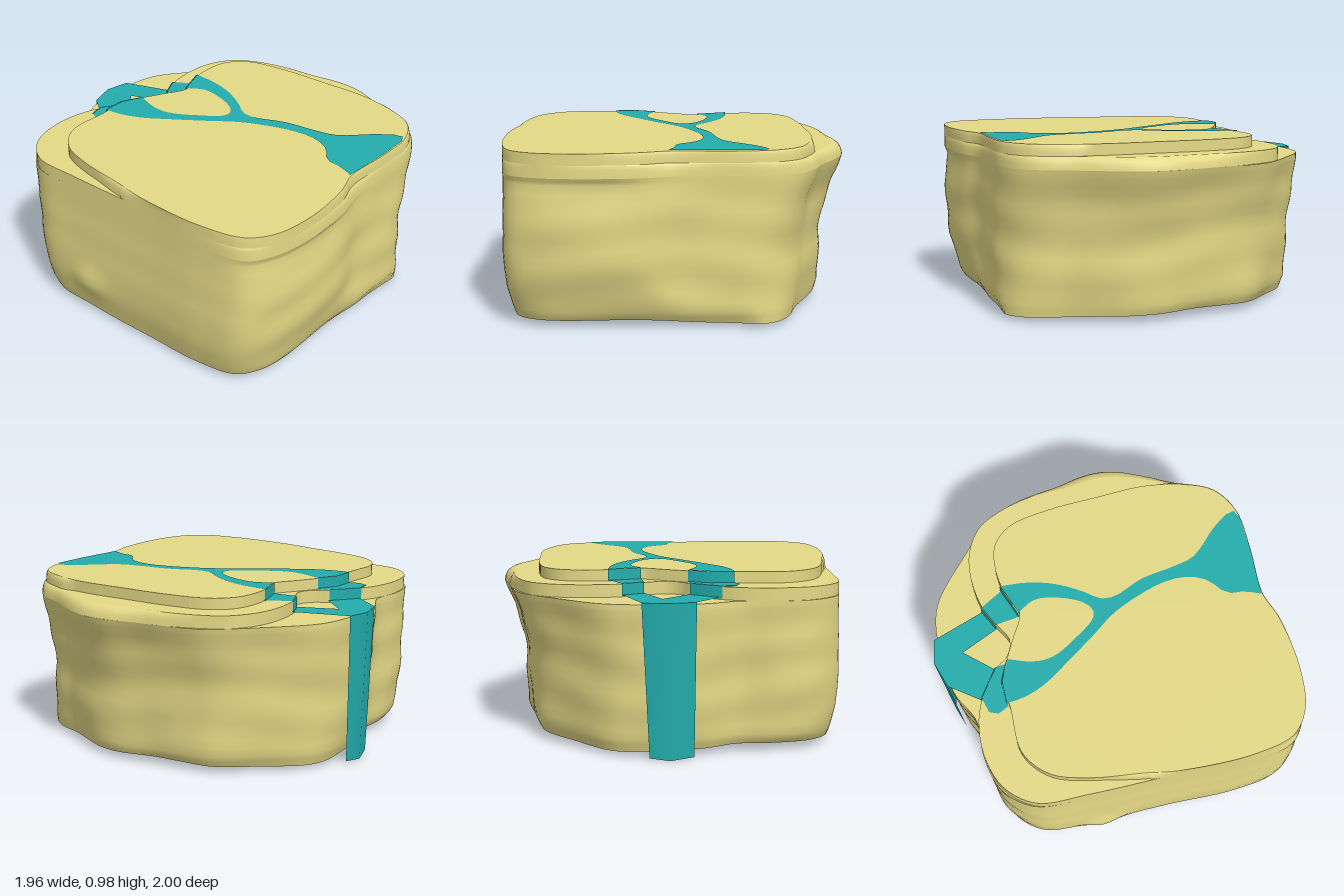
import * as THREE from 'three';

const rock = new THREE.MeshStandardMaterial({ color: 0xe4d986, roughness: 0.9, side: THREE.DoubleSide });
const water = new THREE.MeshStandardMaterial({ color: 0x23acac, roughness: 0.9, side: THREE.DoubleSide });
const { lerp, smoothstep } = THREE.MathUtils;
const N = 160;

// Smooth curve through [x, z] pairs in plan
function spline(points, closed, count) {
  const curve = new THREE.CatmullRomCurve3(points.map(([x, z]) => new THREE.Vector3(x, 0, z)), closed, 'centripetal');
  return curve.getSpacedPoints(count).map((p) => [p.x, p.z]);
}
const outline = (points) => spline(points, true, N).slice(0, N);
const bank = (points) => spline(points, false, 30);

// Flat horizontal sheet at height y, optionally cut out just inside a second outline
function sheet(points, y, cutout) {
  const shape = new THREE.Shape(points.map(([x, z]) => new THREE.Vector2(x, -z)));
  if (cutout) shape.holes.push(new THREE.Path(cutout.map(([x, z]) => new THREE.Vector2(x, -z).multiplyScalar(0.994))));
  return new THREE.ShapeGeometry(shape).rotateX(-Math.PI / 2).translate(0, y, 0);
}

// Surface through rows of [x, y, z] points, top row first
function loft(rows, closed) {
  const n = rows[0].length;
  const index = [];
  for (let r = 0; r < rows.length - 1; r++) {
    for (let i = 0; i < (closed ? n : n - 1); i++) {
      const a = r * n + i, b = r * n + ((i + 1) % n);
      index.push(a, a + n, b, b, a + n, b + n);
    }
  }
  const g = new THREE.BufferGeometry();
  g.setAttribute('position', new THREE.Float32BufferAttribute(rows.flat(2), 3));
  g.setIndex(index);
  g.computeVertexNormals();
  return g;
}

// Outlines run counter-clockwise seen from above: left, front, right, back
const plateauLine = outline([
  [-0.94, 0.2], [-0.94, 0.6], [-0.88, 0.85], [-0.75, 0.95], [-0.5, 0.985], [-0.2, 0.95], [-0.03, 0.895],
  [0.25, 0.9], [0.5, 0.88], [0.66, 0.78], [0.73, 0.62], [0.77, 0.4], [0.76, 0.1], [0.74, -0.2],
  [0.69, -0.42], [0.6, -0.52], [0.5, -0.55], [0.33, -0.54], [0.15, -0.47], [0.02, -0.53], [-0.1, -0.59],
  [-0.23, -0.64], [-0.4, -0.63], [-0.65, -0.62], [-0.8, -0.5], [-0.87, -0.3], [-0.91, 0]]);
const ledgeLine = outline([
  [-0.94, 0.2], [-0.94, 0.6], [-0.885, 0.85], [-0.75, 0.95], [-0.5, 0.985], [-0.2, 0.96], [-0.03, 0.905],
  [0.25, 0.905], [0.5, 0.89], [0.66, 0.8], [0.76, 0.6], [0.84, 0.42], [0.9, 0.25], [0.91, 0.1],
  [0.89, -0.05], [0.87, -0.3], [0.81, -0.49], [0.74, -0.6], [0.6, -0.68], [0.44, -0.7], [0.25, -0.67],
  [0.13, -0.61], [0.02, -0.555], [-0.08, -0.6], [-0.12, -0.66], [-0.28, -0.77], [-0.4, -0.815],
  [-0.6, -0.825], [-0.8, -0.76], [-0.93, -0.6], [-0.945, -0.3]]);
const baseLine = outline([
  [-0.94, 0.2], [-0.94, 0.6], [-0.89, 0.86], [-0.75, 0.95], [-0.5, 0.99], [-0.2, 0.97], [0, 0.92],
  [0.25, 0.91], [0.5, 0.9], [0.66, 0.83], [0.75, 0.72], [0.81, 0.57], [0.89, 0.42], [0.96, 0.25],
  [0.975, 0.1], [0.93, -0.1], [0.89, -0.3], [0.82, -0.51], [0.6, -0.73], [0.36, -0.915], [0.2, -0.955],
  [0, -0.95], [-0.2, -0.92], [-0.38, -0.83], [-0.6, -0.83], [-0.8, -0.77], [-0.93, -0.61], [-0.945, -0.3]]);

// Cliff wall: height, scale toward -x, +x and -z, then the furthest reach to the front
const profile = [
  [0.84, 1, 1, 1, 0.99], [0.8, 1, 0.985, 1, 0.97], [0.7, 1, 0.94, 0.99, 0.985], [0.6, 1.005, 0.91, 0.985, 0.99],
  [0.5, 1.005, 0.885, 0.975, 0.99], [0.4, 1.01, 0.875, 0.97, 0.985], [0.3, 1.005, 0.875, 0.965, 0.97],
  [0.2, 0.995, 0.872, 0.955, 0.945], [0.1, 0.97, 0.86, 0.945, 0.91], [0.035, 0.95, 0.835, 0.91, 0.88]];

function cliff() {
  const rows = [];
  profile.forEach((p, k) => {
    const next = profile[k + 1];
    for (const t of next ? [0, 0.5] : [0]) {
      const [y, xn, xp, zn, front] = p.map((v, j) => (next ? lerp(v, next[j], t) : v));
      const fade = Math.min(1, (0.84 - y) * 6);
      rows.push(baseLine.map(([x, z]) => {
        const angle = Math.atan2(z, x);
        // Gentle weathering, calm on the flat left wall
        const calm = smoothstep(x, -0.95, -0.7);
        const wave = 1 + fade * calm * (0.007 * Math.sin(9 * angle) * Math.cos(8 * y)
          + 0.005 * Math.sin(24 * y + 1.5 * Math.sin(3 * angle)));
        const bump = 0.035 * Math.exp(-(((y - 0.25) / 0.08) ** 2) - ((z + 0.25) / 0.12) ** 2);
        const dip = y < 0.05 ? 0.01 * Math.sin(3 * angle + 2) : 0;
        const frontZ = lerp(z * front / 0.99, Math.min(z, front), smoothstep(x, -0.6, 0.2));
        return [x * (x < 0 ? xn : xp) * wave - (x < -0.8 ? bump : 0), y + dip, (z < 0 ? z * zn : frontZ) * wave];
      }));
    }
  });
  return loft(rows, true);
}

// Foot of a terrace: drawn out to the outline below where that is near, except along the back
function footOf(line, below, reach) {
  return line.map(([x, z]) => {
    const distance = ([bx, bz]) => Math.hypot(bx - x, bz - z);
    const near = below.reduce((best, q) => (distance(q) < distance(best) ? q : best));
    const blend = (1 - smoothstep(distance(near), reach * 0.3, reach)) * smoothstep(z, -0.55, -0.25);
    return [lerp(x, near[0], blend), lerp(z, near[1], blend)];
  });
}

// Side of a terrace, rounding over from its edge to its foot
function terraceWall(line, top, foot, bottom) {
  return loft([0, 0.25, 0.5, 0.75, 1].map((t) => {
    const out = Math.sin(t * Math.PI / 2), drop = 1 - Math.cos(t * Math.PI / 2);
    return line.map(([x, z], i) => [lerp(x, foot[i][0], out), lerp(top, bottom, drop), lerp(z, foot[i][1], out)]);
  }), true);
}

export function createModel() {
  const group = new THREE.Group();
  const add = (name, geometry, material) => {
    const mesh = new THREE.Mesh(geometry, material);
    mesh.name = name;
    group.add(mesh);
  };

  // Rock shell, hollow and open underneath
  const ledgeFoot = footOf(ledgeLine, baseLine, 0.18);
  const plateauFoot = footOf(plateauLine, ledgeLine, 0.06);
  add('cliffWall', cliff(), rock);
  add('lowerGround', sheet(baseLine, 0.84, ledgeFoot), rock);
  add('ledgeWall', terraceWall(ledgeLine, 0.91, ledgeFoot, 0.84), rock);
  add('ledgeGround', sheet(ledgeLine, 0.91, plateauFoot), rock);
  add('plateauWall', terraceWall(plateauLine, 0.972, plateauFoot, 0.91), rock);
  add('plateauGround', sheet(plateauLine, 0.972), rock);

  // River forking across the plateau: left bank, right bank, then the island
  add('upperRiver', sheet([
    ...bank([[-0.36, -0.645], [-0.35, -0.55], [-0.3, -0.42], [-0.2, -0.27], [-0.08, -0.1], [0.03, 0.05],
      [0.1, 0.2], [0.15, 0.36], [0.155, 0.5], [0.11, 0.61], [0.01, 0.7], [-0.005, 0.8], [-0.04, 0.89]]),
    [0.25, 0.898],
    ...bank([[0.45, 0.89], [0.5, 0.86], [0.43, 0.74], [0.27, 0.57], [0.235, 0.45], [0.2, 0.25], [0.13, 0.08],
      [0.13, 0], [0.2, -0.1], [0.28, -0.25], [0.32, -0.4], [0.33, -0.545]]),
    ...bank([[0.15, -0.475], [0.205, -0.38], [0.2, -0.28], [0.14, -0.12], [0.08, -0.065], [0.03, -0.07],
      [-0.06, -0.18], [-0.15, -0.34], [-0.155, -0.45], [-0.11, -0.59]]),
    [-0.23, -0.645]], 0.976), water);

  // Pools on the middle ledge
  add('leftLedgePool', sheet([[-0.36, -0.64], [-0.39, -0.7], [-0.37, -0.75], [-0.28, -0.775],
    [-0.12, -0.665], [-0.11, -0.59], [-0.23, -0.635]], 0.914), water);
  add('rightLedgePool', sheet([[0.33, -0.54], [0.25, -0.675], [0.13, -0.615], [0.15, -0.47]], 0.914), water);

  // Lower pool joining both arms
  add('lowerPool', sheet([[-0.28, -0.77], [-0.15, -0.95], [0, -1], [0.14, -0.975], [0.25, -0.67],
    [0.13, -0.61], [0.03, -0.83], [-0.12, -0.66]], 0.852), water);

  // Small cascades over the terrace edges
  const cascades = [
    ['upperLeftCascade', [[-0.36, -0.645], [-0.23, -0.652], [-0.11, -0.597]], 0.976, 0.91],
    ['upperRightCascade', [[0.15, -0.48], [0.33, -0.55]], 0.976, 0.91],
    ['lowerLeftCascade', [[-0.37, -0.755], [-0.28, -0.778], [-0.12, -0.67]], 0.914, 0.845],
    ['lowerRightCascade', [[0.13, -0.62], [0.25, -0.68]], 0.914, 0.845]];
  for (const [name, line, top, bottom] of cascades) {
    add(name, loft([top, bottom].map((y) => line.map(([x, z]) => [x, y, z])), false), water);
  }

  // Tall waterfall down the back, folded along its middle
  add('waterfall', loft([
    [[0.14, 0.852, -0.975], [0, 0.852, -1], [-0.15, 0.852, -0.95]],
    [[0.1, 0.01, -0.945], [-0.01, 0, -0.965], [-0.14, 0.01, -0.92]]], false), water);
  return group;
}
